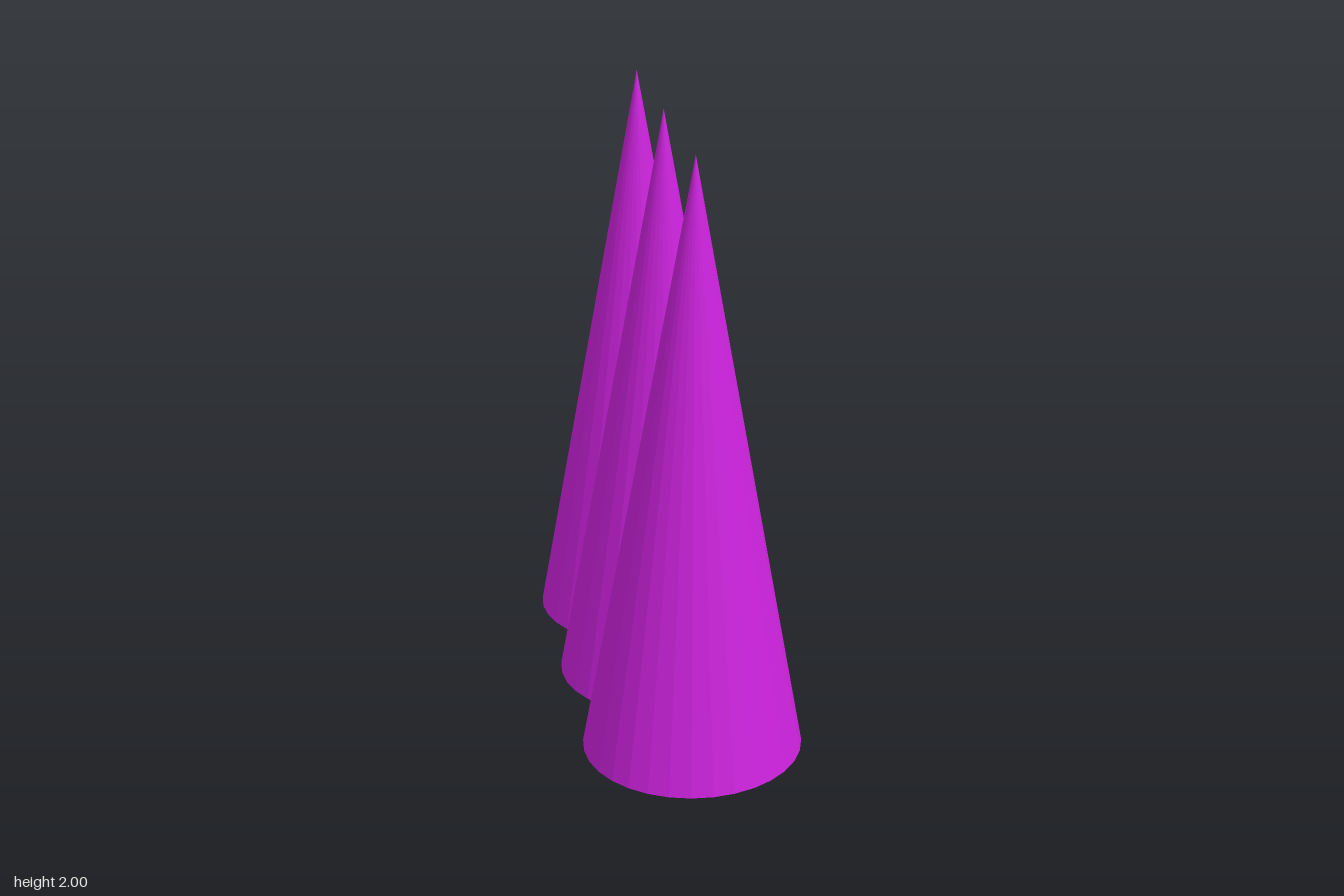
import * as THREE from 'three';

export function createModel() {
  const model = new THREE.Group();
  model.name = 'spikeRow';

  const magenta = new THREE.MeshStandardMaterial({ color: 0xcc22dd, flatShading: true });
  magenta.name = 'magenta';

  // One faceted spike, slightly narrower in depth than in width
  const height = 2, radiusX = 0.36, radiusZ = 0.338;
  const spike = new THREE.ConeGeometry(1, height, 32);
  spike.scale(radiusX, 1, radiusZ);
  spike.translate(0, height / 2, 0);

  // Three overlapping spikes from front to back
  const spikes = [['frontSpike', 0.491], ['middleSpike', -0.01], ['backSpike', -0.491]];
  for (const [name, z] of spikes) {
    const mesh = new THREE.Mesh(spike, magenta);
    mesh.name = name;
    mesh.position.z = z;
    model.add(mesh);
  }
  return model;
}
